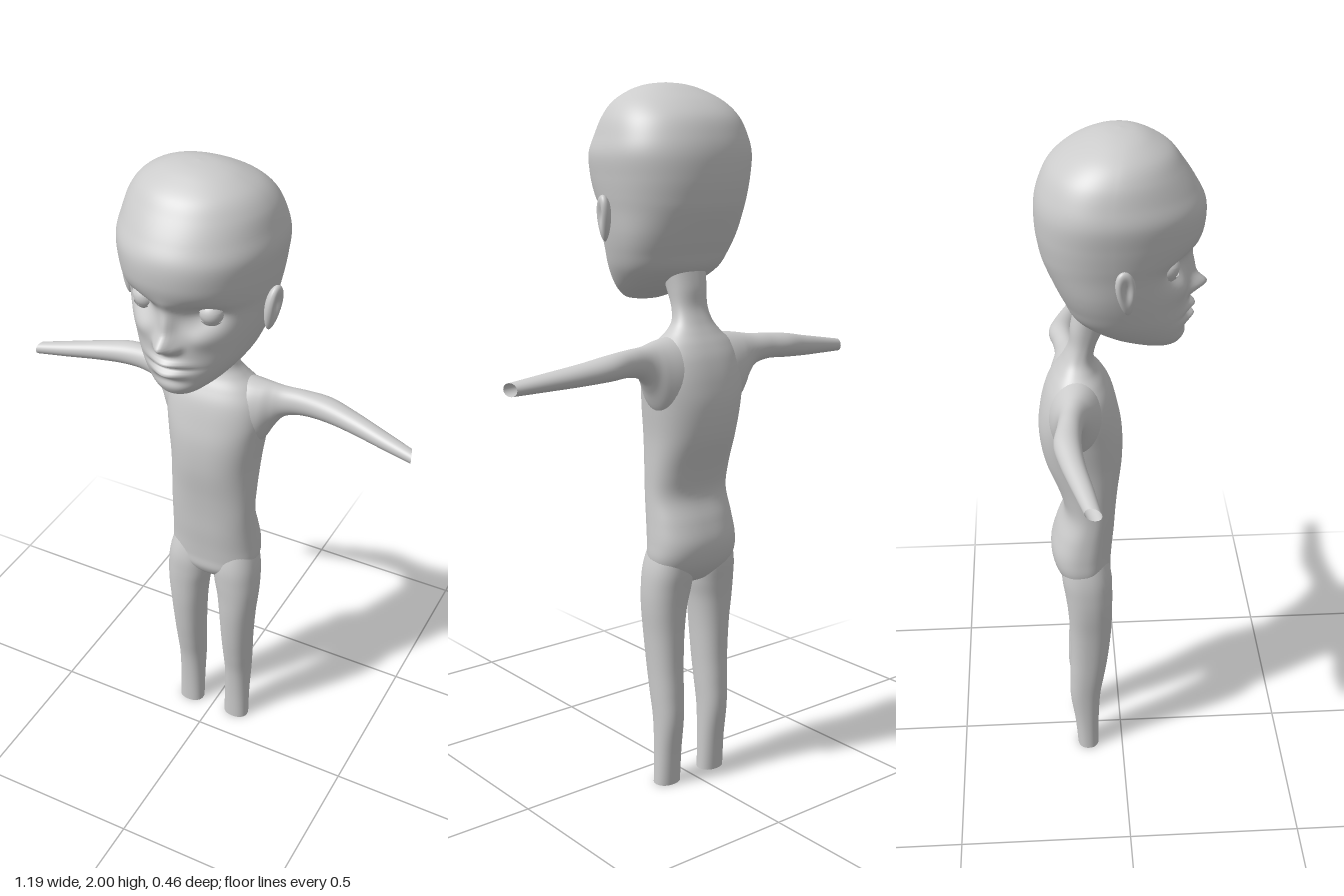
import * as THREE from 'three';

const material = new THREE.MeshStandardMaterial({ color: 0xcccccc, side: THREE.DoubleSide });

// Catmull-Rom interpolation of a row of section parameters
function sampleRows(rows, t) {
  const f = t * (rows.length - 1);
  const i = Math.min(Math.floor(f), rows.length - 2), u = f - i;
  const at = (k) => rows[Math.max(0, Math.min(rows.length - 1, k))];
  const [a, b, c, d] = [at(i - 1), at(i), at(i + 1), at(i + 2)];
  return b.map((_, k) => b[k] + 0.5 * u * (c[k] - a[k] +
    u * (2 * a[k] - 5 * b[k] + 4 * c[k] - d[k] + u * (3 * (b[k] - c[k]) + d[k] - a[k]))));
}

// Smooth skin through closed rings; point(row, cos, sin) places one vertex
function loft(rows, steps, sides, point) {
  const pos = [], idx = [];
  for (let i = 0; i <= steps; i++) {
    const row = sampleRows(rows, i / steps);
    for (let j = 0; j < sides; j++) {
      const a = (j / sides) * Math.PI * 2;
      pos.push(...point(row, Math.cos(a), Math.sin(a)));
      if (i === steps) continue;
      const p = i * sides + j, q = i * sides + (j + 1) % sides;
      idx.push(p, p + sides, q, q, p + sides, q + sides);
    }
  }
  const g = new THREE.BufferGeometry();
  g.setAttribute('position', new THREE.Float32BufferAttribute(pos, 3));
  g.setIndex(idx);
  g.computeVertexNormals();
  return g;
}

// Mirror across x with the winding kept outward
function mirrored(geometry) {
  const g = geometry.clone().scale(-1, 1, 1);
  const ix = g.index.array;
  for (let i = 0; i < ix.length; i += 3) [ix[i], ix[i + 1]] = [ix[i + 1], ix[i]];
  g.computeVertexNormals();
  return g;
}

const pow = (v, e) => Math.sign(v) * Math.abs(v) ** e;
const bump = (x, y, cx, cy, sx, sy) => Math.exp(-(((x - cx) / sx) ** 2) - ((y - cy) / sy) ** 2);

// Nose, lips, chin and eye sockets as offsets along z
function faceRelief(x, y) {
  const ax = Math.abs(x);
  return 0.045 * bump(x, y, 0, 1.572, 0.026, 0.024)
    + 0.02 * bump(x, y, 0, 1.62, 0.02, 0.05)
    + 0.012 * bump(ax, y, 0.027, 1.563, 0.014, 0.014)
    + 0.020 * bump(x, y, 0, 1.514, 0.045, 0.011)
    + 0.018 * bump(x, y, 0, 1.482, 0.04, 0.012)
    - 0.010 * bump(x, y, 0, 1.498, 0.06, 0.006)
    - 0.008 * bump(x, y, 0, 1.455, 0.05, 0.014)
    - 0.034 * bump(ax, y, 0.09, 1.655, 0.048, 0.036)
    + 0.010 * bump(ax, y, 0.09, 1.59, 0.04, 0.03);
}

export function createModel() {
  const model = new THREE.Group();
  const add = (name, geometry, parent = model) => {
    const m = new THREE.Mesh(geometry, material);
    m.name = name;
    parent.add(m);
    return m;
  };
  const addPair = (name, geometry) => {
    add('left' + name, geometry);
    add('right' + name, mirrored(geometry));
  };

  // Head: [y, halfWidth, zFront, zBack, zWidest]
  const headRows = [
    [1.400, 0.002, 0.122, 0.118, 0.12], [1.405, 0.045, 0.155, 0.06, 0.11],
    [1.425, 0.080, 0.172, 0.005, 0.08], [1.455, 0.115, 0.180, -0.065, 0.04],
    [1.500, 0.150, 0.182, -0.130, 0.0], [1.550, 0.172, 0.180, -0.158, -0.02],
    [1.600, 0.187, 0.179, -0.182, -0.03], [1.660, 0.198, 0.182, -0.207, -0.03],
    [1.700, 0.206, 0.204, -0.217, -0.03], [1.750, 0.214, 0.220, -0.224, -0.03],
    [1.810, 0.220, 0.221, -0.224, -0.03], [1.860, 0.209, 0.197, -0.212, -0.03],
    [1.910, 0.190, 0.164, -0.187, -0.02], [1.950, 0.157, 0.132, -0.142, -0.01],
    [1.980, 0.106, 0.084, -0.086, 0.0], [1.995, 0.055, 0.045, -0.042, 0.0],
    [2.000, 0.001, 0.002, -0.001, 0.0],
  ];
  add('head', loft(headRows, 128, 144, ([y, w, zf, zb, zm], c, s) => {
    const x = w * pow(c, 0.95);
    if (s < 0) return [x, y, zm + (zm - zb) * pow(s, 0.85)];
    return [x, y, zm + (zf - zm) * pow(s, 1.06) + faceRelief(x, y) * Math.min(1, s * 2)];
  }));

  // Torso with neck: [y, halfWidth, zFront, zBack]
  const torsoRows = [
    [0.605, 0.004, -0.095, -0.105], [0.615, 0.060, -0.055, -0.145],
    [0.650, 0.120, -0.032, -0.180], [0.690, 0.138, -0.030, -0.200],
    [0.740, 0.138, -0.026, -0.206], [0.800, 0.134, -0.020, -0.190],
    [0.870, 0.130, -0.015, -0.166], [0.940, 0.130, -0.008, -0.180],
    [1.040, 0.132, 0.004, -0.217], [1.130, 0.142, 0.004, -0.231],
    [1.200, 0.150, -0.008, -0.225], [1.260, 0.142, -0.024, -0.210],
    [1.300, 0.118, -0.045, -0.192], [1.330, 0.085, -0.065, -0.174],
    [1.360, 0.062, -0.074, -0.157], [1.400, 0.054, -0.066, -0.141],
    [1.450, 0.058, -0.045, -0.136], [1.500, 0.066, -0.030, -0.125],
  ];
  add('torso', loft(torsoRows, 100, 64, ([y, w, zf, zb], c, s) =>
    [w * pow(c, 0.85), y, (zf + zb) / 2 + (zf - zb) / 2 * pow(s, 0.85)]));

  // Arms, open at the wrist: [x, yBottom, yTop, zBack, zFront]
  const armRows = [
    [0.05, 1.080, 1.325, -0.205, -0.040], [0.10, 1.090, 1.322, -0.202, -0.045],
    [0.14, 1.125, 1.317, -0.193, -0.065], [0.17, 1.180, 1.312, -0.182, -0.090],
    [0.20, 1.218, 1.308, -0.178, -0.106], [0.25, 1.232, 1.306, -0.183, -0.116],
    [0.32, 1.230, 1.299, -0.193, -0.119], [0.40, 1.225, 1.284, -0.178, -0.112],
    [0.50, 1.219, 1.266, -0.150, -0.094], [0.588, 1.214, 1.250, -0.124, -0.080],
  ];
  addPair('Arm', loft(armRows, 60, 40, ([x, y0, y1, z0, z1], c, s) =>
    [x - 0.007 * s * x / 0.59, (y0 + y1) / 2 + (y1 - y0) / 2 * c, (z0 + z1) / 2 - (z1 - z0) / 2 * s]));

  // Legs, open at the ankle: [y, xInner, xOuter, zFront, zBack]
  const legRows = [
    [0.00, 0.042, 0.123, -0.075, -0.140], [0.10, 0.042, 0.122, -0.074, -0.148],
    [0.20, 0.041, 0.124, -0.068, -0.161], [0.28, 0.038, 0.128, -0.055, -0.160],
    [0.36, 0.035, 0.132, -0.043, -0.157], [0.46, 0.030, 0.139, -0.033, -0.158],
    [0.54, 0.022, 0.147, -0.030, -0.163], [0.60, 0.010, 0.149, -0.029, -0.170],
    [0.66, 0.004, 0.145, -0.031, -0.178], [0.72, 0.010, 0.130, -0.045, -0.175],
    [0.78, 0.030, 0.105, -0.070, -0.150],
  ];
  addPair('Leg', loft(legRows, 60, 40, ([y, x0, x1, zf, zb], c, s) =>
    [(x0 + x1) / 2 + (x1 - x0) / 2 * pow(c, 0.9), y, (zf + zb) / 2 + (zf - zb) / 2 * pow(s, 0.9)]));

  // Ears: flattened shells, wide above, dished on the outer face
  const ear = new THREE.SphereGeometry(1, 40, 32);
  const p = ear.attributes.position;
  for (let i = 0; i < p.count; i++) {
    const x = p.getX(i), y = p.getY(i), z = p.getZ(i);
    const dish = x > 0 ? 0.75 * bump(z, y, 0.1, 0.15, 0.5, 0.55) : 0;
    const taper = 0.82 + 0.22 * y;
    p.setXYZ(i, 0.213 + (x - dish) * 0.024 * taper + 0.008 * y - 0.12 * z * 0.03,
      1.642 + y * 0.063, 0.002 + z * 0.031 * taper - 0.006 * y);
  }
  ear.computeVertexNormals();
  addPair('Ear', ear);

  // Eyes with upper and lower lids
  for (const side of [1, -1]) {
    const eye = new THREE.Group();
    eye.name = side > 0 ? 'leftEye' : 'rightEye';
    eye.position.set(side * 0.095, 1.655, 0.114);
    model.add(eye);
    add('eyeball', new THREE.SphereGeometry(0.033, 32, 24), eye);
    const upper = add('upperLid', new THREE.SphereGeometry(0.037, 32, 12, 0, Math.PI * 2, 0, 1.2), eye);
    upper.rotation.x = 0.1;
    const lower = add('lowerLid', new THREE.SphereGeometry(0.036, 32, 12, 0, Math.PI * 2, Math.PI - 1.05, 1.05), eye);
    lower.rotation.x = -0.1;
  }
  return model;
}
